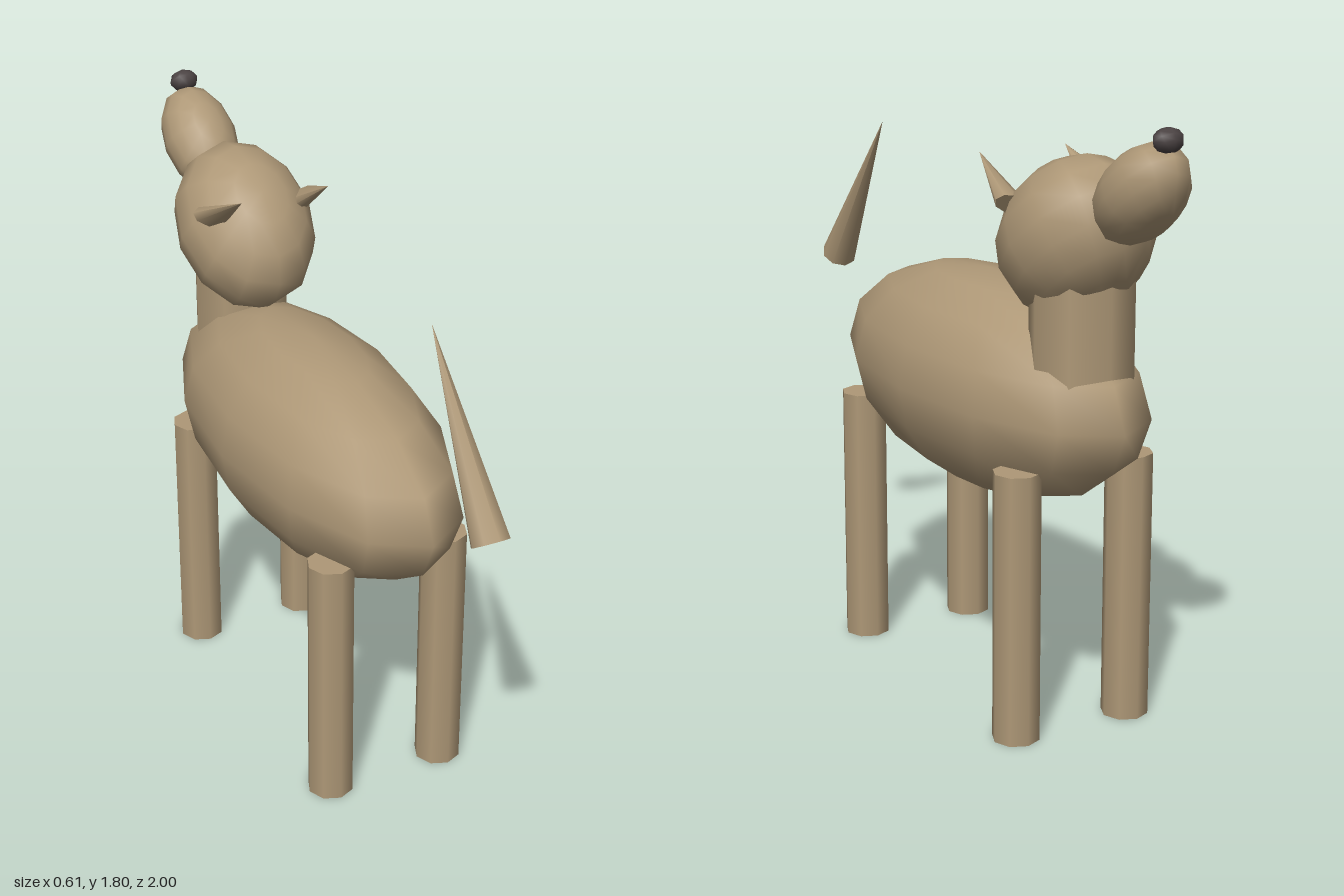
import * as THREE from 'three';

const coat = new THREE.MeshStandardMaterial({ color: 0xae9877 });
coat.name = 'tan coat';
const noseColor = new THREE.MeshStandardMaterial({ color: 0x4b4343 });
noseColor.name = 'dark nose';

function part(name, geometry, material, position) {
  const mesh = new THREE.Mesh(geometry, material);
  mesh.name = name;
  mesh.position.set(...position);
  return mesh;
}

// Ellipsoid given by its three half-sizes
function ellipsoid(name, radii, position, material = coat, w = 12, h = 8) {
  return part(name, new THREE.SphereGeometry(1, w, h).scale(...radii), material, position);
}

// Cone from the centre of its base to its tip, optionally flattened and rolled
function spike(name, base, tip, rx, rz, roll = 0) {
  const from = new THREE.Vector3(...base);
  const axis = new THREE.Vector3(...tip).sub(from);
  const length = axis.length();
  const geometry = new THREE.ConeGeometry(1, length, 8)
    .translate(0, length / 2, 0)
    .scale(rx, 1, rz)
    .rotateY(roll);
  const mesh = part(name, geometry, coat, base);
  mesh.quaternion.setFromUnitVectors(new THREE.Vector3(0, 1, 0), axis.normalize());
  return mesh;
}

export function createModel() {
  const model = new THREE.Group();
  model.name = 'dog';

  // Trunk and neck; the animal looks towards -z
  model.add(ellipsoid('body', [0.305, 0.325, 0.725], [0, 0.94, -0.06]));
  model.add(part('neck', new THREE.CylinderGeometry(0.15, 0.15, 0.42, 8), coat, [0, 1.18, -0.56]));

  // Legs and ears, mirrored
  for (const side of [-1, 1]) {
    for (const [name, z] of [['frontLeg', -0.53], ['hindLeg', 0.408]]) {
      model.add(part(name, new THREE.CylinderGeometry(0.07, 0.07, 0.8, 8), coat, [side * 0.185, 0.4, z]));
    }
    model.add(spike('ear', [side * 0.153, 1.53, -0.437], [side * 0.14, 1.645, -0.24], 0.057, 0.03, side * 0.35));
  }

  // Head tilted upwards, with snout and nose
  const head = new THREE.Group();
  head.name = 'head';
  head.position.set(0, 1.44, -0.525);
  head.rotation.x = THREE.MathUtils.degToRad(40);
  head.add(ellipsoid('skull', [0.21, 0.21, 0.272], [0, 0, 0]));
  head.add(ellipsoid('snout', [0.115, 0.112, 0.185], [0, -0.073, -0.351]));
  head.add(ellipsoid('nose', [0.046, 0.034, 0.034], [0, -0.027, -0.538], noseColor, 8, 6));
  model.add(head);

  // Tail floats clear of the rump
  model.add(spike('tail', [0, 1.114, 0.954], [0, 1.605, 0.62], 0.056, 0.056));

  return model;
}
